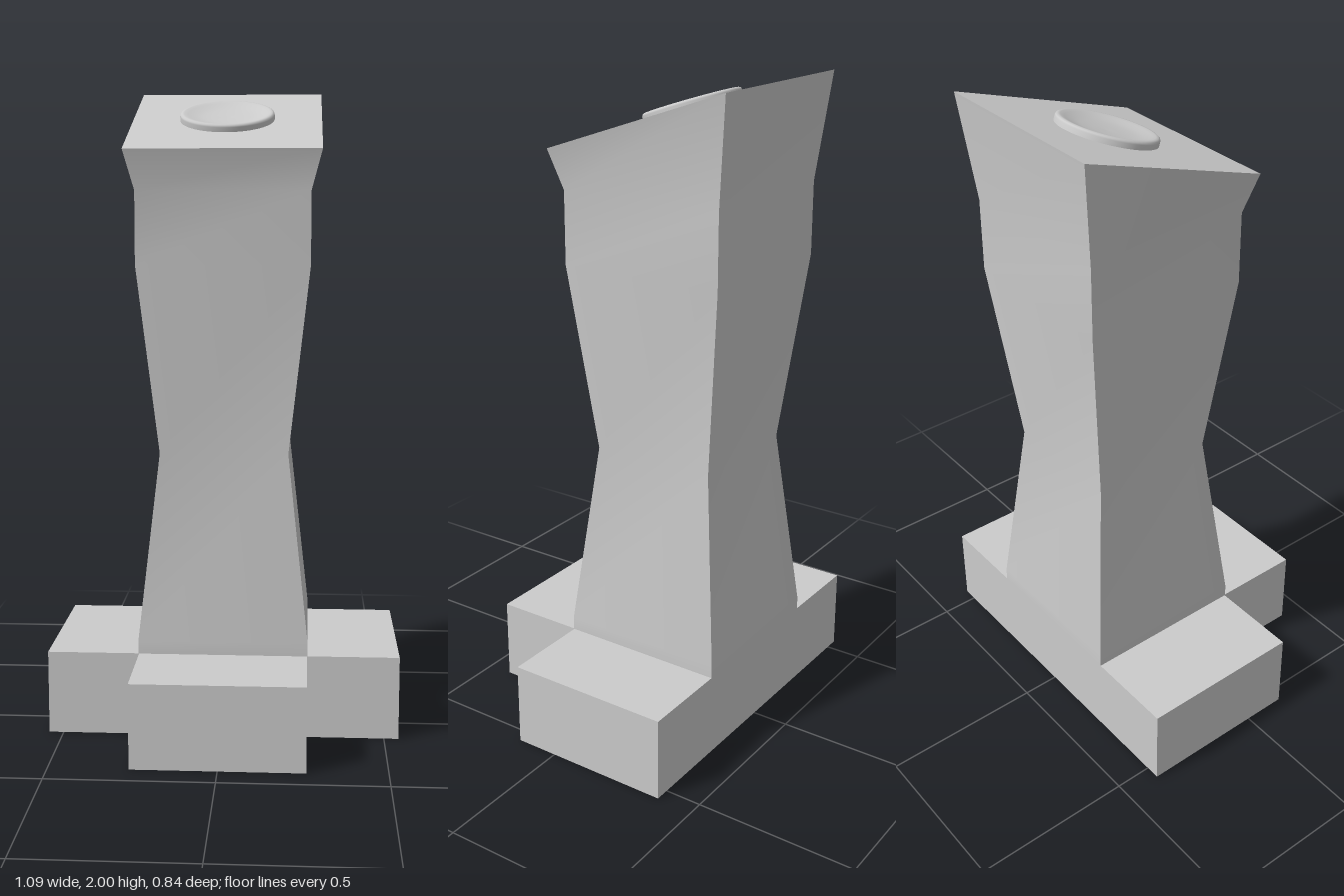
import * as THREE from 'three';
import { toCreasedNormals } from 'three/addons/utils/BufferGeometryUtils.js';

const material = new THREE.MeshStandardMaterial({ color: 0xcccccc });

function addMesh(parent, name, geometry) {
  const mesh = new THREE.Mesh(geometry, material);
  mesh.name = name;
  parent.add(mesh);
  return mesh;
}

// T-shaped plinth: two side feet and one front foot, flush at the back
function baseGeometry() {
  const outline = [
    [-0.545, 0.385], [-0.545, -0.135], [-0.26, -0.135], [-0.26, -0.42],
    [0.26, -0.42], [0.26, -0.135], [0.545, -0.135], [0.545, 0.385],
  ].map(([x, y]) => new THREE.Vector2(x, y));
  const geometry = new THREE.ExtrudeGeometry(new THREE.Shape(outline), { depth: 0.26, bevelEnabled: false });
  return geometry.rotateX(-Math.PI / 2);
}

// Square column lofted through rings: half width, front z, back z, front y, back y
function columnGeometry() {
  const rings = [
    [0.262, 0.137, -0.385, 0.26, 0.26],
    [0.262, 0.137, -0.385, 0.3, 0.3],
    [0.198, 0.073, -0.322, 0.88, 0.88],
    [0.262, 0.137, -0.385, 1.46, 1.46],
    [0.262, 0.137, -0.385, 1.68, 1.68],
    [0.294, 0.17, -0.42, 1.8, 2.0],
  ];
  const positions = [];
  const indices = [];
  for (const [w, front, back, yFront, yBack] of rings) {
    positions.push(-w, yFront, front, w, yFront, front, w, yBack, back, -w, yBack, back);
  }
  for (let r = 0; r < rings.length - 1; r++) {
    for (let i = 0; i < 4; i++) {
      const a = r * 4 + i;
      const b = r * 4 + (i + 1) % 4;
      indices.push(a, b, b + 4, a, b + 4, a + 4);
    }
  }
  // Sloping top face
  const t = (rings.length - 1) * 4;
  indices.push(t, t + 1, t + 2, t, t + 2, t + 3);
  const geometry = new THREE.BufferGeometry();
  geometry.setAttribute('position', new THREE.Float32BufferAttribute(positions, 3));
  geometry.setIndex(indices);
  return toCreasedNormals(geometry, 0.6);
}

// Round button with a rolled rim and a dished top
function buttonGeometry() {
  const profile = [
    [0.147, -0.005], [0.147, 0.014], [0.145, 0.019], [0.14, 0.022], [0.133, 0.022],
    [0.122, 0.019], [0.1, 0.013], [0.075, 0.009], [0.04, 0.007], [0, 0.006],
  ].map(([x, y]) => new THREE.Vector2(x, y));
  return new THREE.LatheGeometry(profile, 64);
}

export function createModel() {
  const model = new THREE.Group();
  model.name = 'buttonPedestal';
  addMesh(model, 'base', baseGeometry());
  addMesh(model, 'column', columnGeometry());

  // Button lies on the sloping top
  const button = addMesh(model, 'button', buttonGeometry());
  button.position.set(0, 1.902, -0.13);
  button.rotation.x = Math.atan2(0.2, 0.59);
  return model;
}
